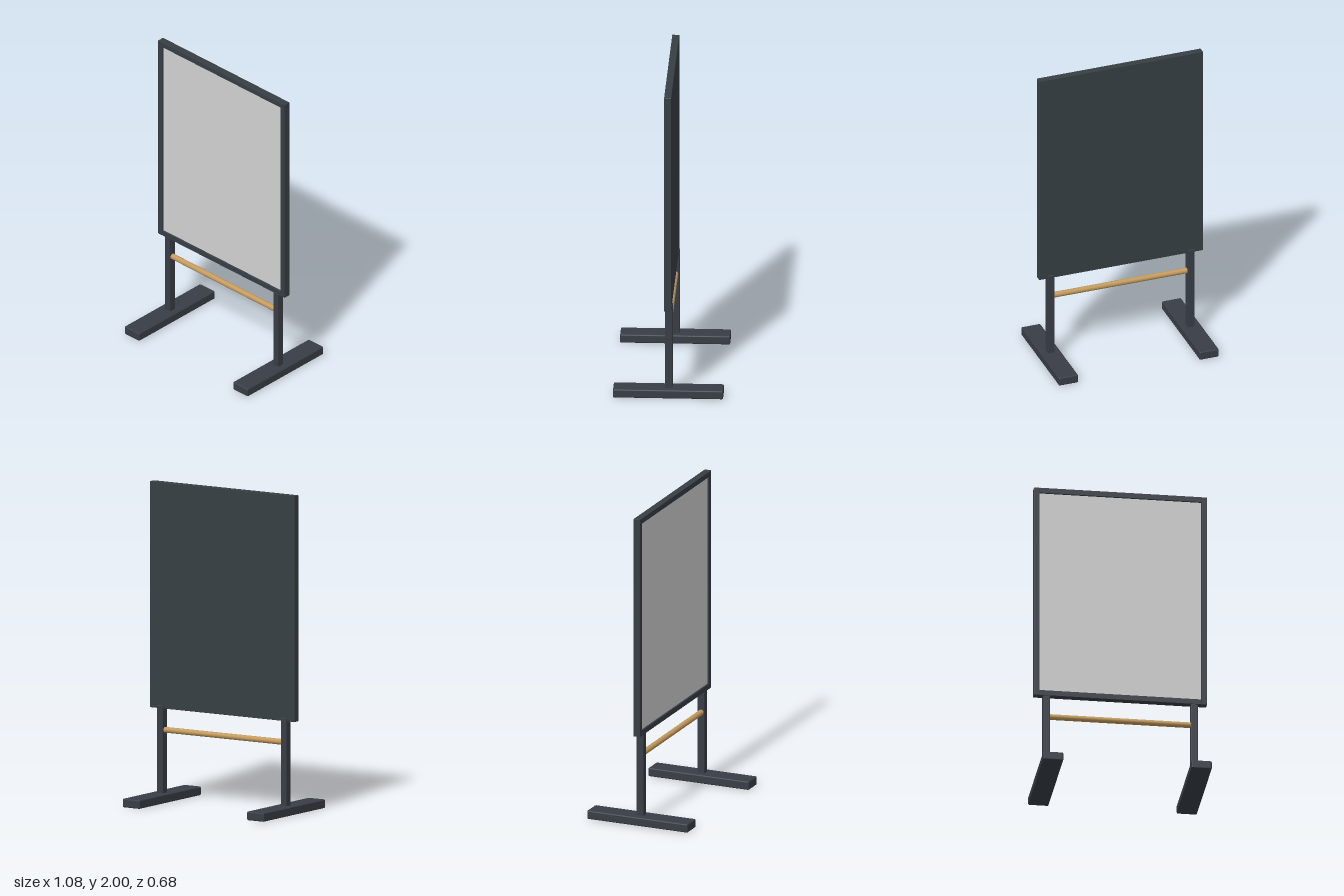
import * as THREE from 'three';
import { RoundedBoxGeometry } from 'three/addons/geometries/RoundedBoxGeometry.js';

export function createModel() {
  const root = new THREE.Group();
  const material = (name, color) => {
    const m = new THREE.MeshStandardMaterial({ color });
    m.name = name;
    return m;
  };
  const frameMat = material('charcoal', 0x383e46);
  const backMat = material('dark slate', 0x373f43);
  const boardMat = material('light grey', 0xd2d2d2);
  const woodMat = material('wood', 0xc39a5c);

  // Box given by its min and max corners, with an optional rounded edge
  const box = (name, mat, [x0, y0, z0], [x1, y1, z1], r = 0) => {
    const size = [x1 - x0, y1 - y0, z1 - z0];
    const geo = r ? new RoundedBoxGeometry(...size, 2, r) : new THREE.BoxGeometry(...size);
    const mesh = new THREE.Mesh(geo, mat);
    mesh.name = name;
    mesh.position.set((x0 + x1) / 2, (y0 + y1) / 2, (z0 + z1) / 2);
    root.add(mesh);
    return mesh;
  };

  // Backing board and writing surface
  box('backBoard', backMat, [-0.54, 0.585, -0.02], [0.54, 2, 0.009], 0.002);
  box('writingSurface', boardMat, [-0.506, 0.618, 0.008], [0.506, 1.967, 0.014]);

  // Raised frame on the front: rails between full-height stiles
  for (const [name, y] of [['bottomRail', 0.585], ['topRail', 1.965]]) {
    box(name, frameMat, [-0.505, y, 0.006], [0.505, y + 0.035, 0.024], 0.002);
  }

  for (const s of [-1, 1]) {
    const side = s > 0 ? 'left' : 'right';
    const pair = (name, x0, x1, y0, y1, z0, z1, r) =>
      box(side + name, frameMat, [Math.min(s * x0, s * x1), y0, z0], [Math.max(s * x0, s * x1), y1, z1], r);
    pair('Stile', 0.505, 0.54, 0.585, 2, 0.006, 0.024, 0.002);
    // Post, reaching a little way up the back of the board
    pair('Post', 0.44, 0.483, 0.05, 0.605, -0.026, 0.022, 0.003);
    pair('Foot', 0.4, 0.527, 0, 0.055, -0.341, 0.341, 0.008);
  }

  // Wooden crossbar
  const bar = new THREE.Mesh(new THREE.CylinderGeometry(0.018, 0.018, 0.89, 24), woodMat);
  bar.name = 'crossbar';
  bar.rotation.z = Math.PI / 2;
  bar.position.set(0, 0.45, 0);
  root.add(bar);

  return root;
}
